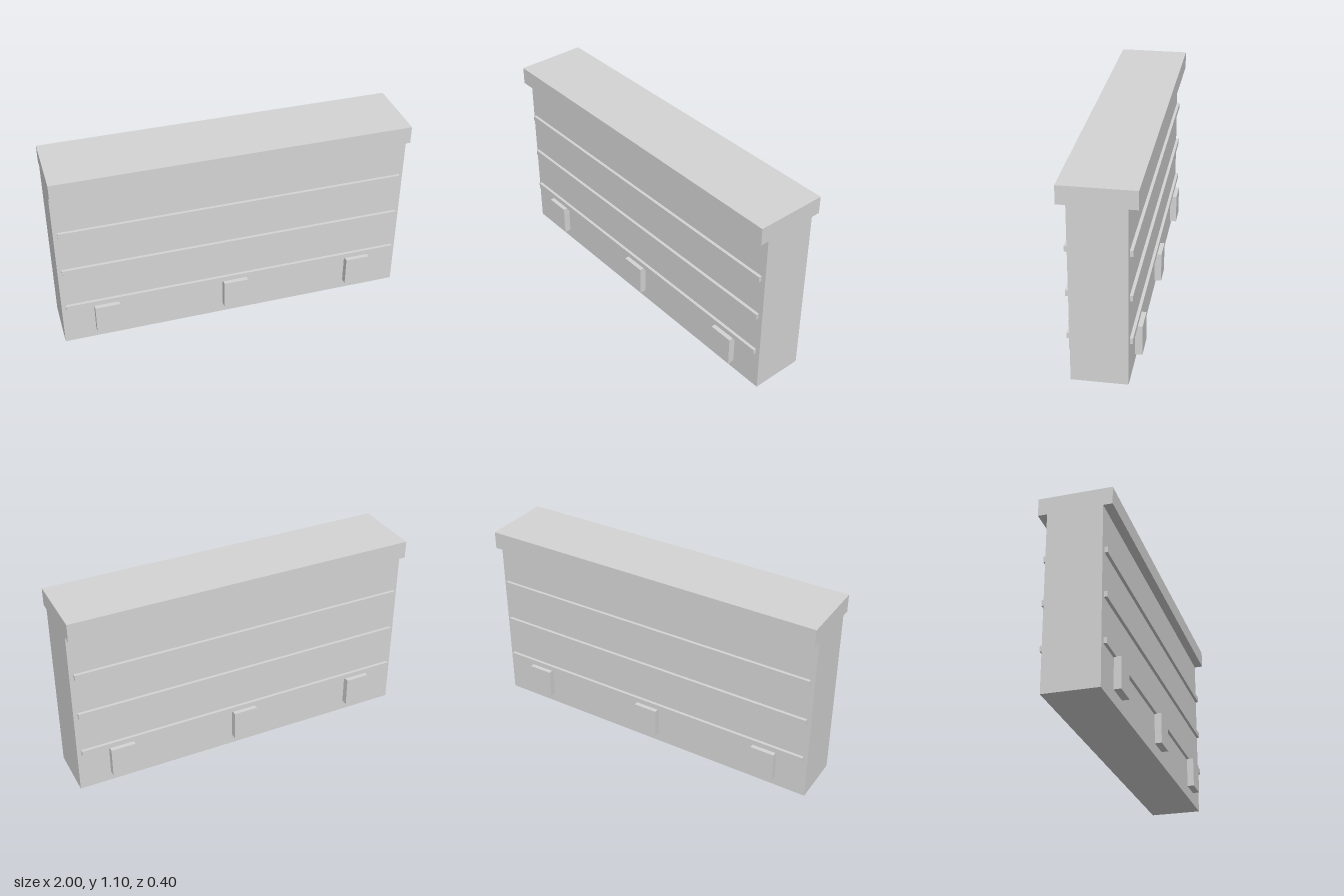
import * as THREE from 'three';

export function createModel() {
  const group = new THREE.Group();
  group.name = 'barrierWall';
  const concrete = new THREE.MeshStandardMaterial({ color: 0xd4d4d4 });
  concrete.name = 'light concrete grey';

  function box(name, w, h, d, x, y, z) {
    const mesh = new THREE.Mesh(new THREE.BoxGeometry(w, h, d), concrete);
    mesh.name = name;
    mesh.position.set(x, y, z);
    group.add(mesh);
  }

  // Wall slab and overhanging cap
  box('wall', 2, 1, 0.3, 0, 0.5, 0);
  box('cap', 2, 0.1, 0.4, 0, 1.05, 0);

  // Both faces carry the same trim
  for (const side of [1, -1]) {
    const face = side > 0 ? 'front' : 'back';
    // Horizontal rails, set just off the wall
    for (const y of [0.25, 0.5, 0.75]) {
      box(face + 'Rail', 1.953, 0.032, 0.017, 0, y + 0.001, side * 0.161);
    }
    // Raised blocks near the base
    for (const x of [-0.75, 0, 0.75]) {
      box(face + 'Block', 0.14, 0.174, 0.039, x, 0.15, side * 0.175);
    }
  }
  return group;
}
